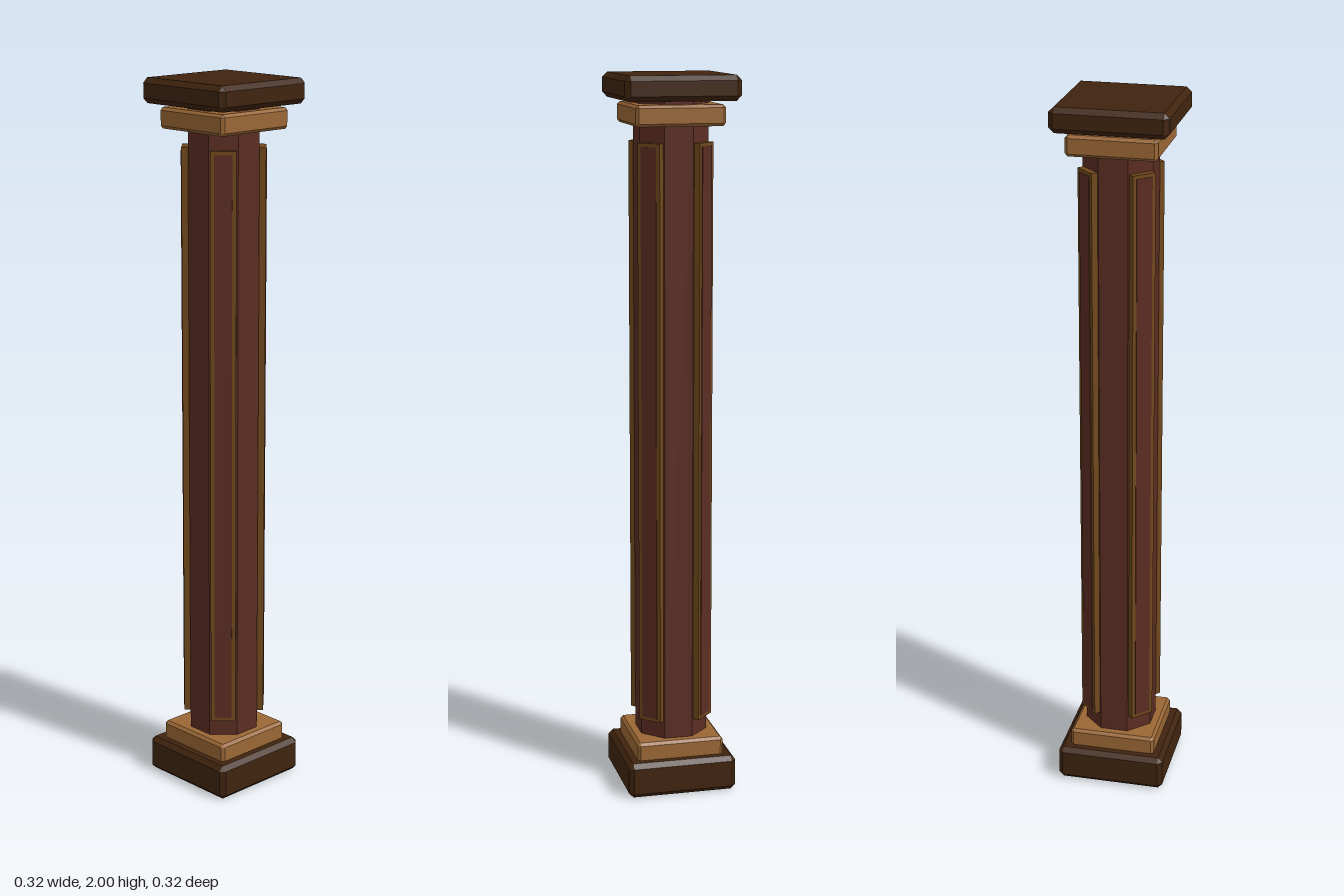
import * as THREE from 'three';
import { ConvexGeometry } from 'three/addons/geometries/ConvexGeometry.js';

const material = (name, color) => {
  const m = new THREE.MeshStandardMaterial({ color, flatShading: true });
  m.name = name;
  return m;
};

// Box with every edge and corner cut at 45 degrees
function chamferBox(half, y0, y1, c) {
  const points = [];
  const h = (y1 - y0) / 2, mid = (y0 + y1) / 2;
  for (const sx of [-1, 1]) for (const sy of [-1, 1]) for (const sz of [-1, 1]) {
    for (const [dx, dy, dz] of [[0, c, c], [c, 0, c], [c, c, 0]]) {
      points.push(new THREE.Vector3(sx * (half - dx), mid + sy * (h - dy), sz * (half - dz)));
    }
  }
  return new ConvexGeometry(points);
}

export function createModel() {
  const column = new THREE.Group();
  column.name = 'column';
  const darkWood = material('dark wood', 0x40240f);
  const lightWood = material('light wood', 0x9a6735);
  const redWood = material('red wood', 0x5a2d22);
  const goldWood = material('golden brown wood', 0x70481c);

  const add = (name, geometry, mat, parent = column) => {
    const mesh = new THREE.Mesh(geometry, mat);
    mesh.name = name;
    parent.add(mesh);
    return mesh;
  };

  // Plinth and capital slabs
  add('plinth', chamferBox(0.154, 0, 0.1, 0.013), darkWood);
  add('lowerMoulding', chamferBox(0.123, 0.09, 0.15, 0.008), lightWood);
  add('upperMoulding', chamferBox(0.123, 1.865, 1.922, 0.008), lightWood);
  add('capital', chamferBox(0.158, 1.932, 2, 0.014), darkWood);

  // Eight-sided shaft, flat towards the front, running up into the capital
  const shaft = add('shaft', new THREE.CylinderGeometry(0.103, 0.103, 1.82, 8), redWood);
  shaft.rotation.y = Math.PI / 8;
  shaft.position.y = 1.03;

  // Corner pilasters on the diagonal facets, each with a red face panel
  for (let i = 0; i < 4; i++) {
    const pilaster = new THREE.Group();
    pilaster.name = 'pilaster';
    pilaster.rotation.y = Math.PI / 4 + i * Math.PI / 2;
    add('pilasterFrame', new THREE.BoxGeometry(0.07, 1.62, 0.03), goldWood, pilaster).position.set(0, 1.01, 0.098);
    add('pilasterPanel', new THREE.BoxGeometry(0.048, 1.6, 0.004), redWood, pilaster).position.set(0, 1.01, 0.113);
    column.add(pilaster);
  }
  return column;
}
